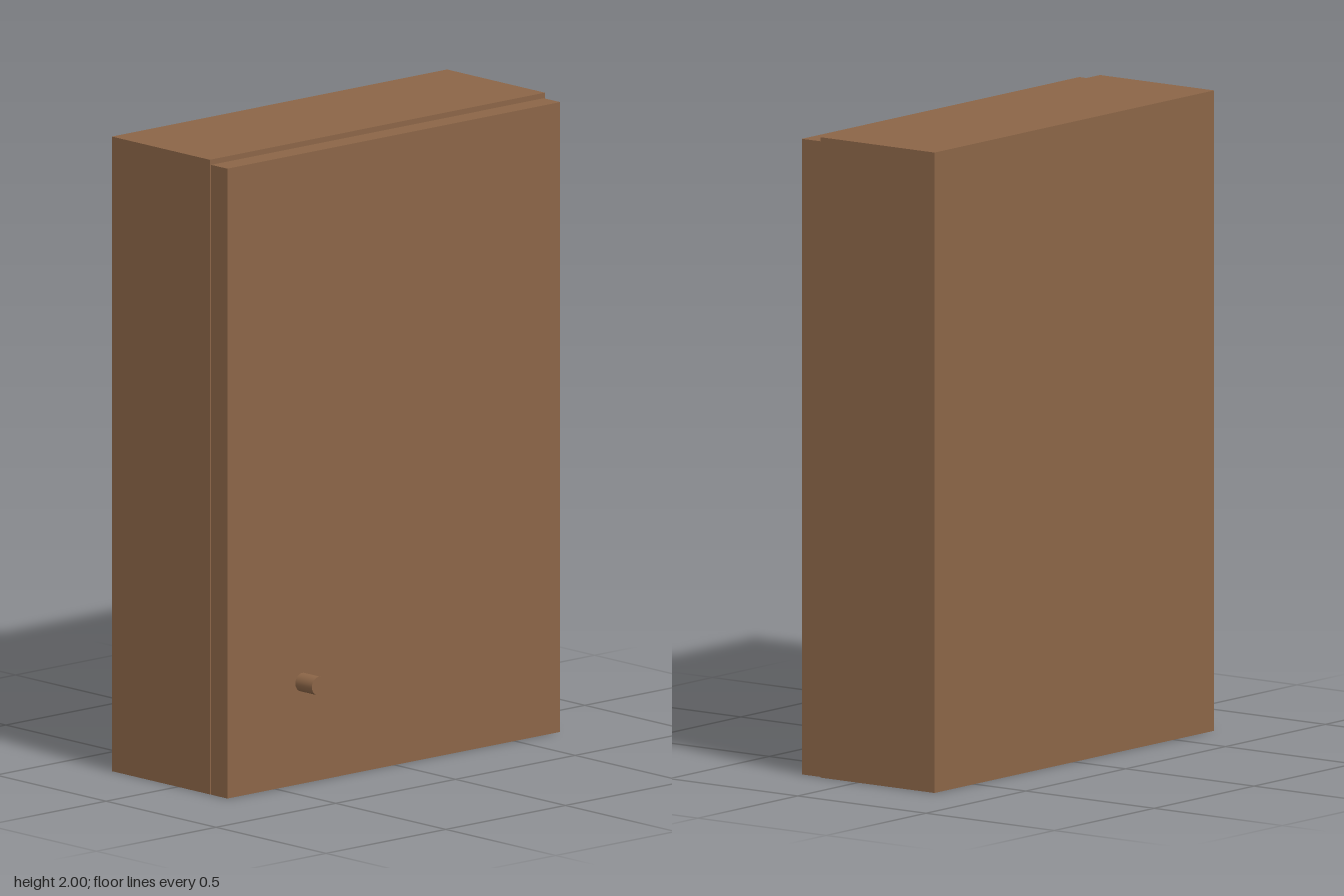
import * as THREE from 'three';

export function createModel() {
  const group = new THREE.Group();
  group.name = 'cabinet';
  const wood = new THREE.MeshStandardMaterial({ color: 0x8b6547 });
  wood.name = 'brown wood';

  // Box given by its minimum and maximum corners
  const box = (name, min, max) => {
    const size = max.map((v, i) => v - min[i]);
    const mesh = new THREE.Mesh(new THREE.BoxGeometry(...size), wood);
    mesh.position.set(...max.map((v, i) => (v + min[i]) / 2));
    mesh.name = name;
    group.add(mesh);
  };

  // Cabinet body, and a slightly smaller door with a thin gap behind it
  box('body', [-0.7, 0, -0.3], [0.7, 2, 0.145]);
  box('door', [-0.7, 0, 0.151], [0.69, 1.985, 0.225]);

  // Round door knob
  const knob = new THREE.Mesh(new THREE.CylinderGeometry(0.029, 0.029, 0.075, 32), wood);
  knob.rotation.x = Math.PI / 2;
  knob.position.set(-0.387, 0.32, 0.2625);
  knob.name = 'knob';
  group.add(knob);

  return group;
}
